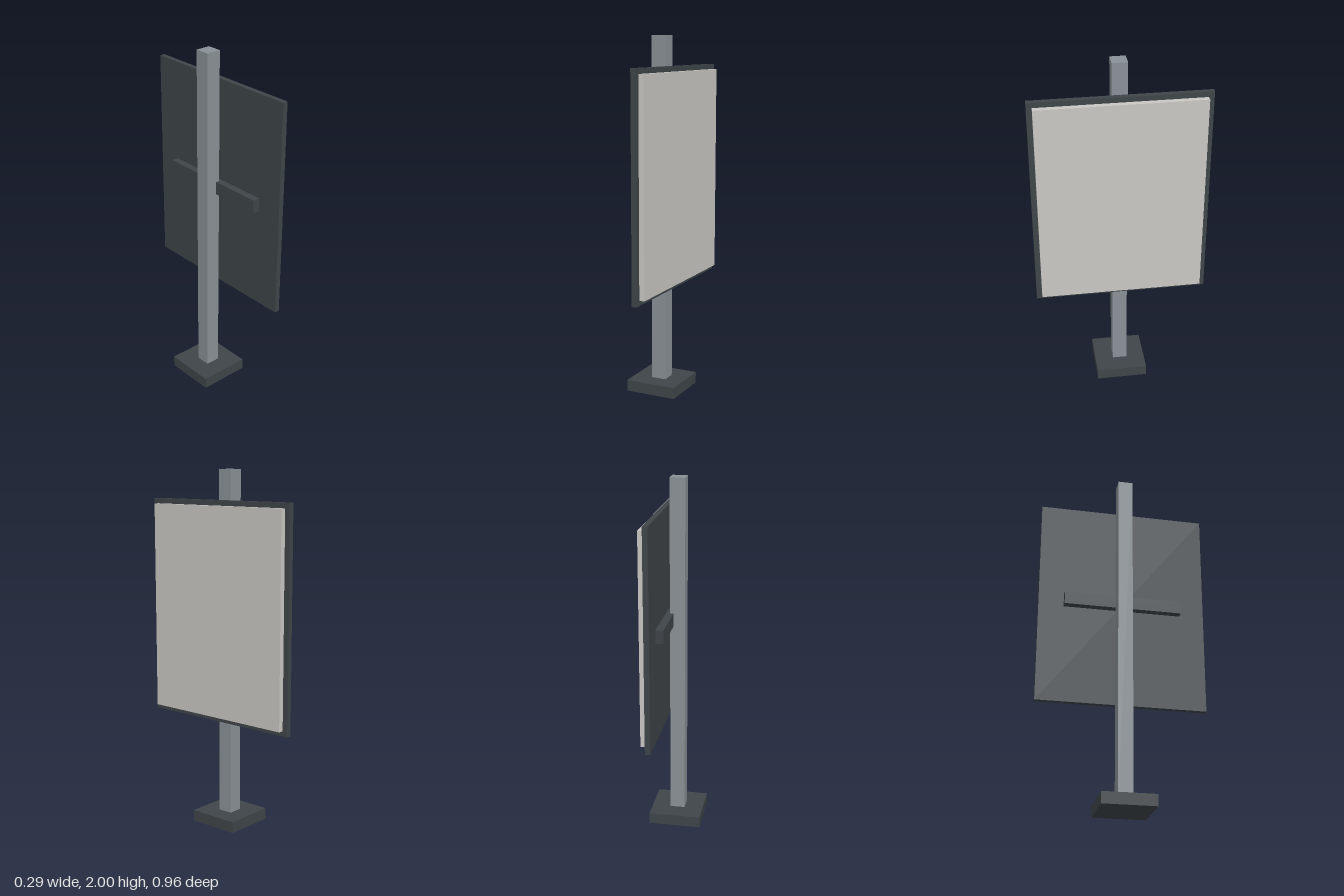
import * as THREE from 'three';

export function createModel() {
  const model = new THREE.Group();
  model.name = 'signPost';

  const material = (name, color) => {
    const m = new THREE.MeshStandardMaterial({ color });
    m.name = name;
    return m;
  };
  const darkSteel = material('dark steel', 0x3f4549);
  const greySteel = material('grey steel', 0x8a9196);
  const panelWhite = material('warm white', 0xcac8c3);

  // Box given by its extents along x and y, and its full depth along z
  const addBox = (name, mat, [x0, x1], [y0, y1], depth) => {
    const mesh = new THREE.Mesh(new THREE.BoxGeometry(x1 - x0, y1 - y0, depth), mat);
    mesh.position.set((x0 + x1) / 2, (y0 + y1) / 2, 0);
    mesh.name = name;
    model.add(mesh);
  };

  // Foot plate and square post
  addBox('base', darkSteel, [-0.147, 0.147], [0, 0.064], 0.294);
  addBox('post', greySteel, [-0.042, 0.042], [0.005, 2], 0.084);

  // Horizontal bracket behind the sign
  addBox('crossBar', darkSteel, [0.021, 0.063], [1.185, 1.259], 0.676);

  // Backing board and the raised sign face on its +x side
  addBox('backBoard', darkSteel, [0.067, 0.096], [0.61, 1.836], 0.964);
  addBox('signFace', panelWhite, [0.096, 0.126], [0.639, 1.807], 0.904);

  return model;
}
